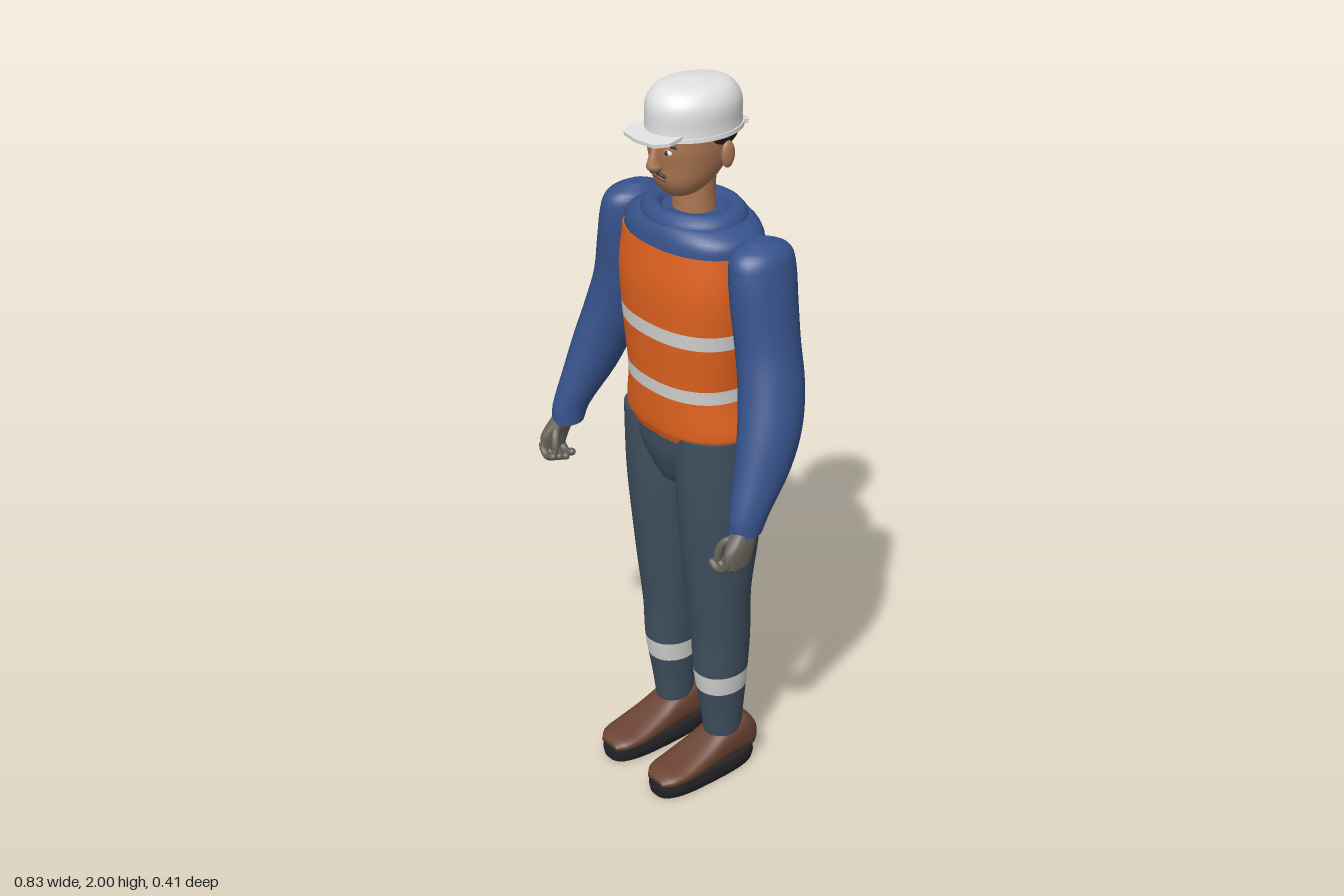
import * as THREE from 'three';

const mat = (name, color) => {
  const m = new THREE.MeshStandardMaterial({ color });
  m.name = name;
  return m;
};
const M = {
  orange: mat('vest orange', 0xe0621f),
  blue: mat('shirt blue', 0x37538c),
  slate: mat('trouser slate', 0x3f4f5f),
  silver: mat('reflective silver', 0xd2d2d0),
  white: mat('helmet white', 0xe2e2e2),
  skin: mat('skin', 0xab7752),
  brown: mat('boot brown', 0x6a4332),
  black: mat('black', 0x242326),
  glove: mat('glove grey', 0x67645a),
  lip: mat('lip', 0x7d4a38),
};

// Sections are [y, cx, cz, rx, rz], joined by a smooth curve between y0 and y1
function sampleAt(s, y) {
  let i = 0;
  while (i < s.length - 2 && y > s[i + 1][0]) i++;
  const slope = (k, c) => {
    const a = s[Math.max(k - 1, 0)], b = s[Math.min(k + 1, s.length - 1)];
    return (b[c] - a[c]) / (b[0] - a[0]);
  };
  const h = s[i + 1][0] - s[i][0], t = (y - s[i][0]) / h, t2 = t * t, t3 = t2 * t;
  return [1, 2, 3, 4].map((c) => (2 * t3 - 3 * t2 + 1) * s[i][c] + (t3 - 2 * t2 + t) * h * slope(i, c)
    + (3 * t2 - 2 * t3) * s[i + 1][c] + (t3 - t2) * h * slope(i + 1, c));
}

function loft(s, { n = 2, y0 = s[0][0], y1 = s[s.length - 1][0], sides = 32, sub = 4 } = {}) {
  const ys = [y0];
  for (let i = 0; i < s.length - 1; i++)
    for (let k = 0; k < sub; k++) {
      const y = s[i][0] + (s[i + 1][0] - s[i][0]) * k / sub;
      if (y > y0 + 1e-4 && y < y1 - 1e-4) ys.push(y);
    }
  ys.push(y1);
  const pos = [], idx = [];
  const ring = (y) => {
    const [cx, cz, rx, rz] = sampleAt(s, y);
    for (let i = 0; i < sides; i++) {
      const a = i / sides * Math.PI * 2, c = Math.cos(a), d = Math.sin(a);
      pos.push(cx + rx * Math.sign(c) * Math.abs(c) ** (2 / n), y, cz + rz * Math.sign(d) * Math.abs(d) ** (2 / n));
    }
    return [cx, y, cz];
  };
  ys.forEach((y, j) => {
    ring(y);
    if (j) for (let i = 0; i < sides; i++) {
      const a = (j - 1) * sides + i, b = (j - 1) * sides + (i + 1) % sides;
      idx.push(a, a + sides, b, b, a + sides, b + sides);
    }
  });
  for (const [y, top] of [[y0, false], [y1, true]]) {
    const base = pos.length / 3;
    pos.push(...ring(y));
    for (let i = 0; i < sides; i++) {
      const a = base + i, b = base + (i + 1) % sides;
      idx.push(base + sides, top ? b : a, top ? a : b);
    }
  }
  const g = new THREE.BufferGeometry();
  g.setAttribute('position', new THREE.Float32BufferAttribute(pos, 3));
  g.setIndex(idx);
  g.computeVertexNormals();
  return g;
}

const V = (p) => new THREE.Vector3(...p);
const tube = (pts, r) => new THREE.TubeGeometry(new THREE.CatmullRomCurve3(pts.map(V)), 10, r, 8);

export function createModel() {
  const root = new THREE.Group();
  root.name = 'worker';
  const add = (parent, name, geo, material, p = [0, 0, 0], scale = [1, 1, 1]) => {
    const m = new THREE.Mesh(geo, material);
    m.name = name;
    m.position.set(...p);
    m.scale.set(...scale);
    parent.add(m);
    return m;
  };

  // Vest, cut into bands of orange and silver
  const torso = [[1.07, 0, -.035, .195, .145], [1.1, 0, -.04, .209, .16], [1.2, 0, -.026, .188, .15],
    [1.3, 0, -.016, .194, .146], [1.4, 0, -.015, .205, .15], [1.5, 0, -.015, .212, .152], [1.6, 0, -.02, .206, .144]];
  const cuts = [1.07, 1.2, 1.237, 1.357, 1.397, 1.6];
  for (let i = 0; i < 5; i++)
    add(root, i % 2 ? 'vestStripe' : 'vest', loft(torso, { n: 2.3, y0: cuts[i], y1: cuts[i + 1], sides: 48 }), i % 2 ? M.silver : M.orange);

  // Shirt shoulders and rolled collar
  add(root, 'shoulders', loft([[1.595, 0, -.02, .205, .143], [1.63, 0, -.02, .2, .137], [1.655, 0, -.022, .165, .125],
    [1.668, 0, -.022, .12, .1]], { n: 2.2, sides: 48 }), M.blue);
  const collar = new THREE.TorusGeometry(.118, .034, 12, 40).rotateX(Math.PI / 2);
  add(root, 'collar', collar, M.blue, [0, 1.652, -.02], [1, 1, .82]);

  // Hips
  add(root, 'hips', loft([[.918, 0, -.045, .075, .115], [.95, 0, -.045, .115, .13], [1.02, 0, -.04, .175, .146],
    [1.09, 0, -.038, .2, .15]], { n: 2.2 }), M.slate);

  // Neck and head
  add(root, 'neck', loft([[1.62, 0, -.022, .06, .056], [1.7, 0, -.02, .056, .052], [1.78, 0, -.02, .058, .054]]), M.skin);
  add(root, 'head', loft([[1.715, 0, .022, .03, .035], [1.73, 0, .022, .053, .052], [1.76, 0, .01, .074, .08],
    [1.8, 0, -.004, .086, .1], [1.84, 0, -.006, .092, .108], [1.9, 0, -.01, .094, .11]], { n: 2.15 }), M.skin);
  add(root, 'hair', loft([[1.845, 0, -.035, .088, .085], [1.86, 0, -.032, .096, .1], [1.89, 0, -.03, .1, .104]]), M.black);
  add(root, 'nose', loft([[1.786, 0, .1, .012, .012], [1.798, 0, .102, .019, .022], [1.812, 0, .102, .014, .022],
    [1.85, 0, .1, .008, .008]], { sides: 14 }), M.skin);
  add(root, 'mouth', tube([[-.026, 1.765, .085], [0, 1.77, .094], [.026, 1.765, .085]], .004), M.lip);
  const ball = new THREE.SphereGeometry(1, 16, 12);
  for (const s of [-1, 1]) {
    add(root, 'ear', ball, M.skin, [s * .092, 1.822, -.05], [.011, .035, .02]);
    add(root, 'eye', ball, M.white, [s * .038, 1.843, .092], [.015, .007, .006]);
    add(root, 'pupil', ball, M.black, [s * .038, 1.843, .096], [.006, .006, .004]);
    add(root, 'eyebrow', tube([[s * .016, 1.859, .102], [s * .038, 1.864, .097], [s * .06, 1.858, .082]], .004), M.black);
    add(root, 'moustache', tube([[s * .004, 1.785, .1], [s * .016, 1.783, .098], [s * .028, 1.774, .09]], .004), M.black);
  }

  // Hard hat: shell, rim and two peaks
  add(root, 'helmetShell', loft([[1.878, 0, -.018, .105, .129], [1.9, 0, -.018, .104, .128], [1.945, 0, -.018, .103, .126],
    [1.975, 0, -.018, .088, .109], [1.992, 0, -.018, .06, .078], [2, 0, -.018, .008, .01]], { sides: 48 }), M.white);
  add(root, 'helmetRim', loft([[1.873, 0, -.018, .109, .133], [1.884, 0, -.018, .108, .132]], { sides: 48 }), M.white);
  const peak = (w, d, z, sign, tilt) => {
    const pts = [[-w * .9, 0], [w * .9, 0], [w, d * .55], [w * .72, d * .9], [0, d], [-w * .72, d * .9], [-w, d * .55]];
    const g = new THREE.ExtrudeGeometry(new THREE.Shape(pts.map((p) => new THREE.Vector2(...p))), { depth: .009, bevelEnabled: false });
    const m = add(root, 'helmetPeak', g.rotateX(Math.PI / 2), M.white, [0, 1.89, z]);
    m.rotation.set(tilt, sign < 0 ? Math.PI : 0, 0, 'YXZ');
  };
  peak(.08, .09, .07, 1, .09);
  peak(.07, .055, -.102, -1, .2);

  // Limbs, modelled on the left and mirrored
  const arm = [[.955, .371, .118, .039, .045], [1, .371, .105, .043, .055], [1.1, .356, .052, .06, .078],
    [1.2, .338, .014, .072, .087], [1.3, .312, -.01, .077, .087], [1.4, .284, -.02, .075, .086],
    [1.5, .266, -.022, .073, .09], [1.6, .252, -.025, .066, .091], [1.635, .246, -.027, .054, .075], [1.655, .24, -.028, .022, .03]];
  const leg = [[.1, .106, -.04, .048, .052], [.2, .106, -.036, .056, .062], [.33, .106, -.03, .069, .077],
    [.45, .105, -.03, .077, .082], [.6, .105, -.02, .087, .088], [.75, .105, -.023, .095, .108],
    [.9, .106, -.022, .101, .12], [1.09, .108, -.035, .1, .14]];
  const shoe = [[-.134, .105, -.08, .04, .04], [-.118, .105, -.087, .052, .055], [-.085, .105, -.098, .056, .065],
    [-.03, .105, -.09, .057, .056], [.04, .105, -.072, .061, .038], [.12, .105, -.057, .063, .024],
    [.175, .105, -.052, .055, .017], [.2, .105, -.046, .034, .009]];
  for (const s of [1, -1]) {
    const side = new THREE.Group();
    side.name = s > 0 ? 'leftLimbs' : 'rightLimbs';
    side.scale.x = s;
    root.add(side);
    add(side, 'sleeve', loft(arm), M.blue);

    // Gloved hand with curled fingers
    add(side, 'palm', loft([[.88, .389, .158, .016, .038], [.92, .387, .15, .02, .045], [.96, .378, .128, .026, .037],
      [.985, .371, .115, .028, .034]], { n: 2.5, sides: 20 }), M.glove);
    for (let i = 0; i < 4; i++) {
      const z = .128 + i * .021, y = .006 * Math.abs(i - 1);
      add(side, 'finger', tube([[.391, .9, z], [.386, .872 + y, z + .002], [.364, .857 + y, z + .004], [.338, .866 + y, z + .004]], .0105), M.glove);
      add(side, 'fingertip', ball, M.glove, [.338, .866 + y, z + .004], [.0105, .0105, .0105]);
    }
    add(side, 'thumb', tube([[.376, .95, .15], [.355, .935, .172], [.345, .908, .182], [.343, .89, .184]], .011), M.glove);
    add(side, 'thumbTip', ball, M.glove, [.343, .89, .184], [.011, .011, .011]);

    // Trouser leg with reflective band
    add(side, 'trouserLeg', loft(leg, { n: 2.1, y1: .278 }), M.slate);
    add(side, 'legStripe', loft(leg, { n: 2.1, y0: .278, y1: .338 }), M.silver);
    add(side, 'trouserLeg', loft(leg, { n: 2.1, y0: .338 }), M.slate);

    // Shoe and sole
    add(side, 'shoe', loft(shoe, { n: 2.6 }).rotateX(Math.PI / 2), M.brown);
    add(side, 'sole', loft([[0, .105, .035, .06, .167], [.022, .105, .035, .066, .17], [.044, .105, .035, .063, .169]], { n: 2.9, sides: 40 }), M.black);
  }
  return root;
}
